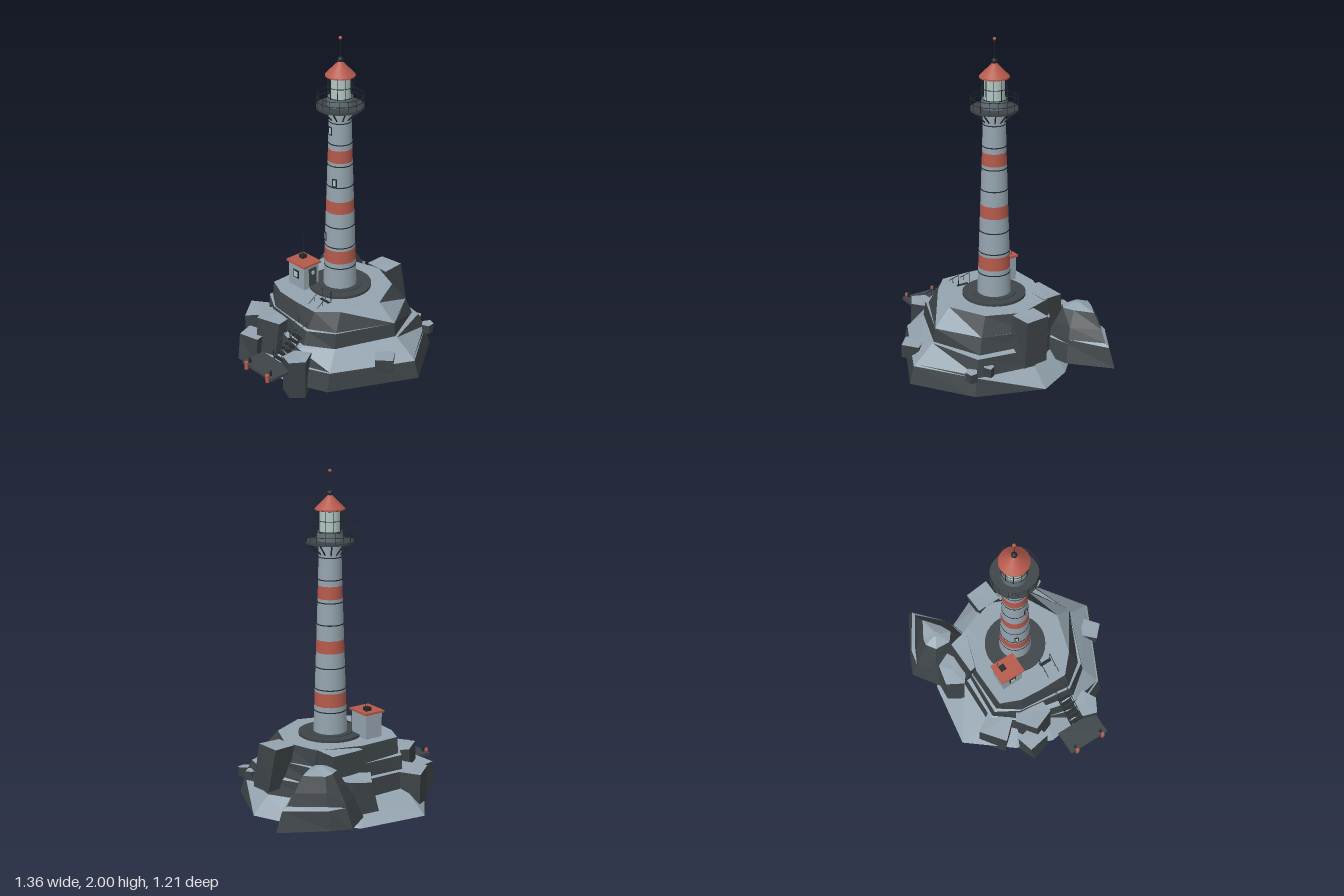
import * as THREE from 'three';

const mat = (name, color) => Object.assign(new THREE.MeshStandardMaterial({ color }), { name });
const V = (x, y, z) => new THREE.Vector3(x, y, z);

export function createModel() {
  const root = new THREE.Group();
  root.name = 'lighthouse';
  const stone = mat('pale stone', 0x93a3ae);
  const rock = mat('dark rock', 0x3b4145);
  stone.side = rock.side = THREE.DoubleSide; // the island shell is open below
  const paint = mat('pale paint', 0x95a4ae);
  const red = mat('red paint', 0xb5594b);
  const slate = mat('slate', 0x3d4448);
  const iron = mat('black iron', 0x23292c);
  const steel = mat('grey steel', 0x66737a);
  const glass = mat('lamp glass', 0xb3c8c4);

  let seed = 7;
  const rnd = (a) => {
    seed = (seed * 16807) % 2147483647;
    return (seed / 2147483647 - 0.5) * 2 * a;
  };
  const add = (name, geo, material, x = 0, y = 0, z = 0, parent = root) => {
    const m = new THREE.Mesh(geo, material);
    m.name = name;
    m.position.set(x, y, z);
    parent.add(m);
    return m;
  };
  const group = (name, x = 0, y = 0, z = 0) => {
    const g = new THREE.Group();
    g.name = name;
    g.position.set(x, y, z);
    root.add(g);
    return g;
  };
  const box = (name, w, h, d, m, x, y, z, parent) => add(name, new THREE.BoxGeometry(w, h, d), m, x, y, z, parent);
  const drum = (name, r0, r1, y0, y1, m, parent, sides = 24) =>
    add(name, new THREE.CylinderGeometry(r1, r0, y1 - y0, sides), m, 0, (y0 + y1) / 2, 0, parent);
  const bar = (name, a, b, r, m, parent) => {
    const mesh = add(name, new THREE.CylinderGeometry(r, r, a.distanceTo(b), 6), m, 0, 0, 0, parent);
    mesh.position.copy(a).lerp(b, 0.5);
    mesh.quaternion.setFromUnitVectors(V(0, 1, 0), b.clone().sub(a).normalize());
  };

  // Faceted rock from stacked rings; flat-lying faces are pale, steep ones dark
  const loft = (name, rings, floor) => {
    const pale = [], dark = [];
    const tri = (a, b, c) => {
      const n = b.clone().sub(a).cross(c.clone().sub(a)).normalize();
      const list = n.y > 0.66 ? pale : dark;
      for (const p of [a, b, c]) list.push(p.x, p.y, p.z);
    };
    const mid = (ring) => ring.reduce((s, p) => s.add(p), V(0, 0, 0)).divideScalar(ring.length);
    const n = rings[0].length, first = rings[0], last = rings[rings.length - 1];
    const c0 = mid(first), c1 = mid(last);
    for (let i = 0; i < n; i++) {
      const j = (i + 1) % n;
      for (let k = 0; k + 1 < rings.length; k++) {
        const lo = rings[k], hi = rings[k + 1];
        tri(lo[i], hi[j], lo[j]);
        tri(lo[i], hi[i], hi[j]);
      }
      if (floor) tri(c0, first[i], first[j]);
      tri(c1, last[j], last[i]);
    }
    const geo = new THREE.BufferGeometry();
    geo.setAttribute('position', new THREE.Float32BufferAttribute(pale.concat(dark), 3));
    geo.addGroup(0, pale.length / 3, 0);
    geo.addGroup(pale.length / 3, dark.length / 3, 1);
    geo.computeVertexNormals();
    add(name, geo, [stone, rock]);
  };

  // Stepped island: shore outline blends to plateau outline, shelving gently at the back
  const shore = [[0.57, -0.01], [0.43, 0.37], [0.1, 0.6], [-0.39, 0.36], [-0.48, 0.15],
    [-0.51, -0.08], [-0.43, -0.3], [-0.22, -0.565], [0.18, -0.51], [0.47, -0.22]];
  const plateau = [[0.35, 0], [0.27, 0.2], [0.06, 0.31], [-0.18, 0.24], [-0.29, 0.14],
    [-0.29, -0.03], [-0.28, -0.17], [-0.23, -0.29], [0.02, -0.3], [0.28, -0.22]];
  const shelf = [0.38, 0, 0, 0, 0.08, 0.5, 0.4, 0.65, 0.65, 0.68];
  const outline = (t, y, wobble, tweak = () => 0) => shore.map((p, i) => {
    const s = t === 0 ? 0 : Math.min(1, shelf[i] + (t + tweak(i)) * (1 - shelf[i]));
    const q = plateau[i];
    return V(p[0] + (q[0] - p[0]) * s + rnd(wobble), y + rnd(wobble), p[1] + (q[1] - p[1]) * s + rnd(wobble));
  });
  const frontSlope = (amount) => (i) => (i === 2 || i === 3 ? amount : 0);
  const topSlope = (i) => (i === 1 || i === 2 ? -0.1 : 0);
  loft('island', [
    outline(0, 0.08, 0), outline(0.12, 0.185, 0.006),
    outline(0.15, 0.19, 0.004), outline(0.33, 0.28, 0.006, frontSlope(0.25)),
    outline(0.51, 0.287, 0.006, frontSlope(0.08)), outline(0.63, 0.37, 0.006),
    outline(0.75, 0.373, 0.008, topSlope), outline(1, 0.47, 0),
  ], false);

  // Sharp crag at the back right
  const crag = [[0.677, -0.415], [0.477, -0.22], [0.29, -0.17], [0.185, -0.27], [0.16, -0.5], [0.31, -0.605], [0.42, -0.56]];
  const cragRing = (s, y, w) => crag.map(([x, z]) =>
    V(0.36 + (x - 0.36) * s + rnd(w), y + rnd(w), -0.38 + (z + 0.38) * s + rnd(w)));
  loft('crag', [cragRing(1, 0.14, 0), cragRing(0.84, 0.25, 0.01), cragRing(0.77, 0.265, 0.008),
    cragRing(0.62, 0.34, 0.01), cragRing(0.4, 0.418, 0.008), cragRing(0.08, 0.445, 0)], false);

  // Boulders: x, z, bottom, top, radius x, radius z, turn, top shift x, top shift z, sides
  const boulders = [
    [-0.28, -0.34, 0.01, 0.29, 0.125, 0.125, 0.1, 0, 0, 4],
    [-0.47, 0.19, 0.04, 0.27, 0.09, 0.08, 0.3, 0, 0, 5],
    [-0.48, -0.2, 0.09, 0.25, 0.08, 0.1, 0.5, 0.02, 0, 4],
    [-0.37, -0.14, 0.15, 0.36, 0.11, 0.12, 0.9, 0.02, 0, 5],
    [0.44, 0.02, 0.22, 0.47, 0.1, 0.11, 0.7, -0.03, -0.03, 4],
    [0.16, -0.28, 0.28, 0.47, 0.15, 0.11, 0.7, 0, 0.02, 4],
    [0.12, -0.43, 0.15, 0.33, 0.12, 0.09, 0.4, 0.02, 0.03, 5],
    [-0.065, 0.485, 0.16, 0.24, 0.08, 0.08, 0.05, 0, 0, 4],
    [0.41, 0.27, 0.18, 0.235, 0.04, 0.035, 0.2, 0, 0, 5],
    [0.4, 0.375, 0.17, 0.225, 0.04, 0.035, 0.8, 0, 0, 5],
  ];
  for (const [x, z, y0, y1, rx, rz, turn, dx, dz, sides] of boulders) {
    const ring = (k, s) => Array.from({ length: sides }, (_, i) => {
      const a = turn + (i / sides) * Math.PI * 2, w = rx * 0.08;
      return V(x + dx * k + Math.cos(a) * rx * s + rnd(w), y0 + (y1 - y0) * k + rnd(w), z + dz * k + Math.sin(a) * rz * s + rnd(w));
    });
    loft('boulder', [ring(0, 0.95), ring(1, 0.97)], true);
  }

  // Tower: tapered slices, painted bands and thin iron rings
  const tower = group('tower', 0.042, 0, -0.008);
  const radius = (y) => 0.098 - (Math.min(y, 1.53) - 0.48) * 0.0333;
  drum('plinth', 0.185, 0.185, 0.46, 0.485, slate, tower, 32);
  drum('plinthStep', 0.13, 0.13, 0.485, 0.49, slate, tower, 32);
  const cuts = [0.48, 0.648, 0.728, 0.962, 1.036, 1.274, 1.348, 1.595];
  for (let i = 0; i + 1 < cuts.length; i++) {
    drum(i % 2 ? 'redBand' : 'towerWall', radius(cuts[i]), radius(cuts[i + 1]), cuts[i], cuts[i + 1], i % 2 ? red : paint, tower);
  }
  for (const y of [0.617, 0.748, 0.875, 1.126, 1.253, 1.383, 1.51]) {
    drum('towerRing', radius(y) + 0.0015, radius(y) + 0.0015, y - 0.003, y + 0.003, iron, tower);
  }
  for (const [y, a] of [[0.8, 3.58], [1.155, 2.74], [1.46, 3.28]]) {
    const w = group('towerWindow', 0.042 + Math.cos(a) * radius(y), y, -0.008 + Math.sin(a) * radius(y));
    w.rotation.y = -a;
    box('windowFrame', 0.006, 0.05, 0.028, iron, 0, 0, 0, w);
    box('windowPane', 0.003, 0.036, 0.016, glass, 0.0025, 0, 0, w);
  }

  // Gallery with brackets and railing
  const polar = (r, y, a) => V(Math.cos(a) * r, y, Math.sin(a) * r);
  drum('galleryDeck', 0.135, 0.135, 1.588, 1.602, slate, tower, 32);
  for (let i = 0; i < 12; i++) {
    const a = (i / 12) * Math.PI * 2;
    bar('galleryBracket', polar(0.062, 1.525, a), polar(0.128, 1.59, a), 0.004, iron, tower);
  }
  for (let i = 0; i < 16; i++) {
    const a = (i / 16) * Math.PI * 2;
    bar('railPost', polar(0.134, 1.6, a), polar(0.134, 1.664, a), 0.0017, iron, tower);
  }
  for (const y of [1.634, 1.664]) {
    add('galleryRail', new THREE.TorusGeometry(0.134, 0.0018, 6, 32), iron, 0, y, 0, tower).rotation.x = Math.PI / 2;
  }

  // Lantern room, roof and finial
  drum('lanternBase', 0.073, 0.073, 1.6, 1.652, steel, tower);
  drum('lampGlass', 0.058, 0.058, 1.652, 1.775, glass, tower, 12);
  for (let i = 0; i < 10; i++) {
    const a = (i / 10) * Math.PI * 2;
    bar('lanternBar', polar(0.072, 1.65, a), polar(0.072, 1.78, a), 0.0022, iron, tower);
  }
  for (const y of [1.655, 1.715, 1.772]) {
    add('lanternHoop', new THREE.TorusGeometry(0.072, 0.002, 6, 24), iron, 0, y, 0, tower).rotation.x = Math.PI / 2;
  }
  drum('roofEave', 0.085, 0.085, 1.774, 1.782, red, tower);
  drum('roof', 0.085, 0.012, 1.782, 1.856, red, tower);
  add('finialBall', new THREE.SphereGeometry(0.017, 14, 10), iron, 0, 1.866, 0, tower);
  bar('mast', V(0, 1.86, 0), V(0, 1.985, 0), 0.0014, iron, tower);
  add('beacon', new THREE.SphereGeometry(0.01, 10, 8), red, 0, 1.99, 0, tower);

  // Keeper's hut
  const hut = group('hut', -0.11, 0, -0.158);
  box('hutWalls', 0.112, 0.155, 0.136, paint, 0, 0.5375, 0, hut);
  box('hutRoof', 0.132, 0.013, 0.156, red, 0, 0.621, 0, hut);
  box('hutChimney', 0.034, 0.022, 0.034, iron, 0.016, 0.637, -0.025, hut);
  bar('hutMast', V(0.042, 0.62, -0.045), V(0.042, 0.755, -0.045), 0.0013, iron, hut);
  box('hutDoor', 0.056, 0.115, 0.008, slate, 0.008, 0.54, 0.07, hut);
  box('doorPane', 0.02, 0.022, 0.004, glass, 0.008, 0.568, 0.075, hut);
  box('hutWindowFrame', 0.008, 0.05, 0.044, iron, -0.058, 0.555, 0, hut);
  box('hutWindowPane', 0.004, 0.034, 0.028, glass, -0.063, 0.555, 0, hut);

  // Landing stage with bollards and round fenders
  const dock = group('landingStage', -0.595, 0.208, 0.08);
  box('dockDeck', 0.15, 0.018, 0.262, slate, 0, 0, 0, dock);
  for (const z of [-0.09, 0.095]) {
    add('bollard', new THREE.CylinderGeometry(0.008, 0.008, 0.03, 10), iron, -0.053, 0.022, z, dock);
    add('fender', new THREE.CylinderGeometry(0.012, 0.012, 0.046, 10), red, -0.079, 0, z, dock);
  }

  // Stairway from landing stage to plateau
  const stairs = group('stairs');
  const climb = (t, up, z) => V(-0.52 + 0.375 * t, 0.215 + 0.262 * t + up, z);
  for (let i = 0; i < 14; i++) {
    const p = climb((i + 0.5) / 14, 0, 0.083);
    box('stairTread', 0.02, 0.008, 0.074, iron, p.x, p.y, p.z, stairs);
  }
  for (const z of [0.046, 0.12]) {
    bar('stringer', climb(0, -0.004, z), climb(1, -0.004, z), 0.003, iron, stairs);
    bar('handrail', climb(0, 0.066, z), climb(1, 0.066, z), 0.002, iron, stairs);
    for (let i = 0; i < 7; i++) bar('stairPost', climb(i / 6, 0, z), climb(i / 6, 0.066, z), 0.0018, iron, stairs);
  }
  return root;
}
